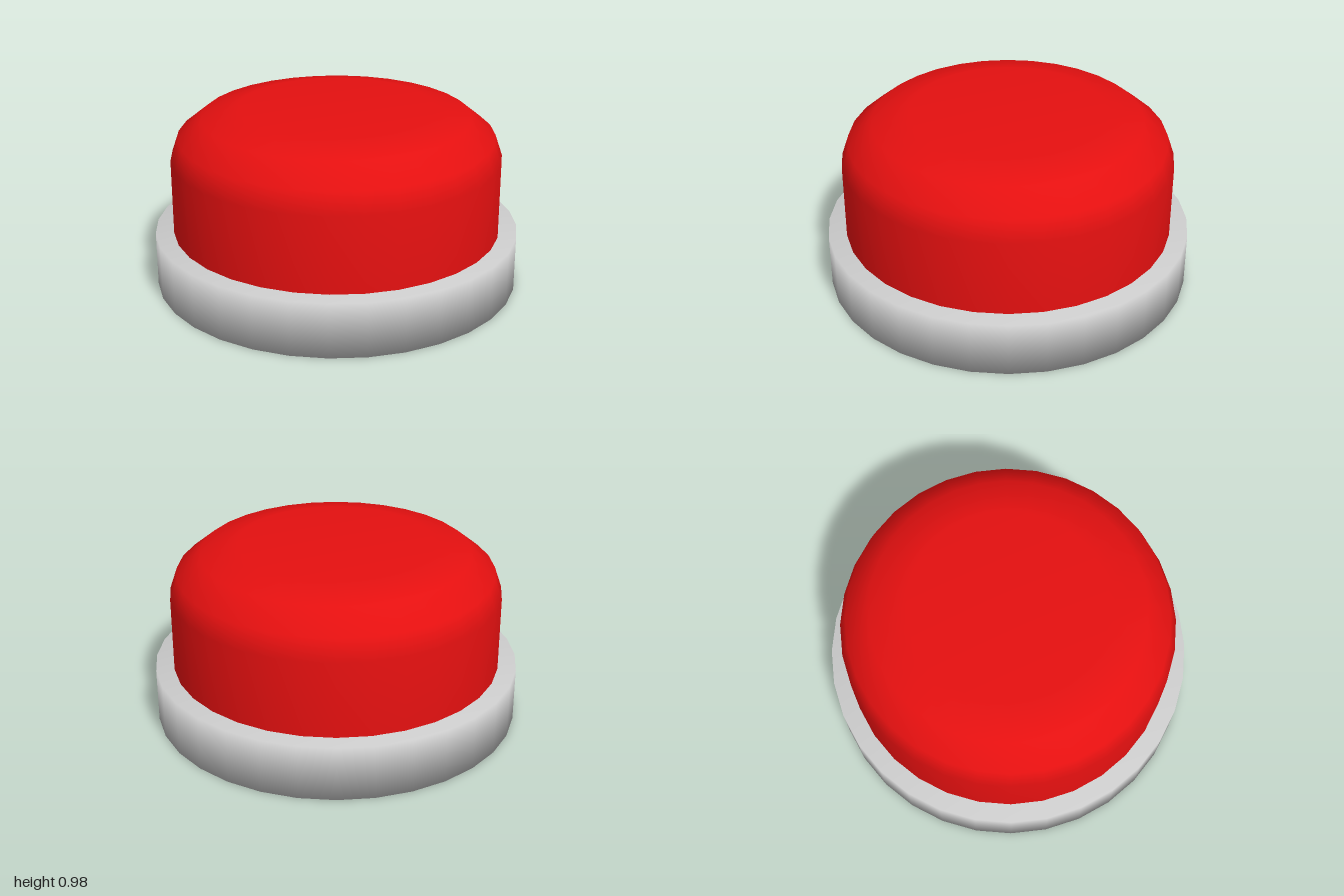
import * as THREE from 'three';

const SIDES = 32;

// Revolves a [radius, height] profile, listed from bottom to top.
function turned(name, profile, color) {
  const points = profile.map(([r, y]) => new THREE.Vector2(r, y));
  const mesh = new THREE.Mesh(
    new THREE.LatheGeometry(points, SIDES),
    new THREE.MeshStandardMaterial({ color })
  );
  mesh.name = name;
  return mesh;
}

export function createModel() {
  const group = new THREE.Group();
  group.name = 'pushButton';

  // Low round base, closed top and bottom, with softly shaded rims
  group.add(turned('base', [[0, 0], [1, 0], [1, 0.3], [0, 0.3]], 0xcccccc));

  // Red cap with straight walls, a rounded shoulder and a flat top
  group.add(turned('buttonCap', [
    [0.9, 0.3], [0.9, 0.715], [0.86, 0.83], [0.73, 0.935], [0.53, 0.98], [0, 0.98],
  ], 0xe51010));

  return group;
}
